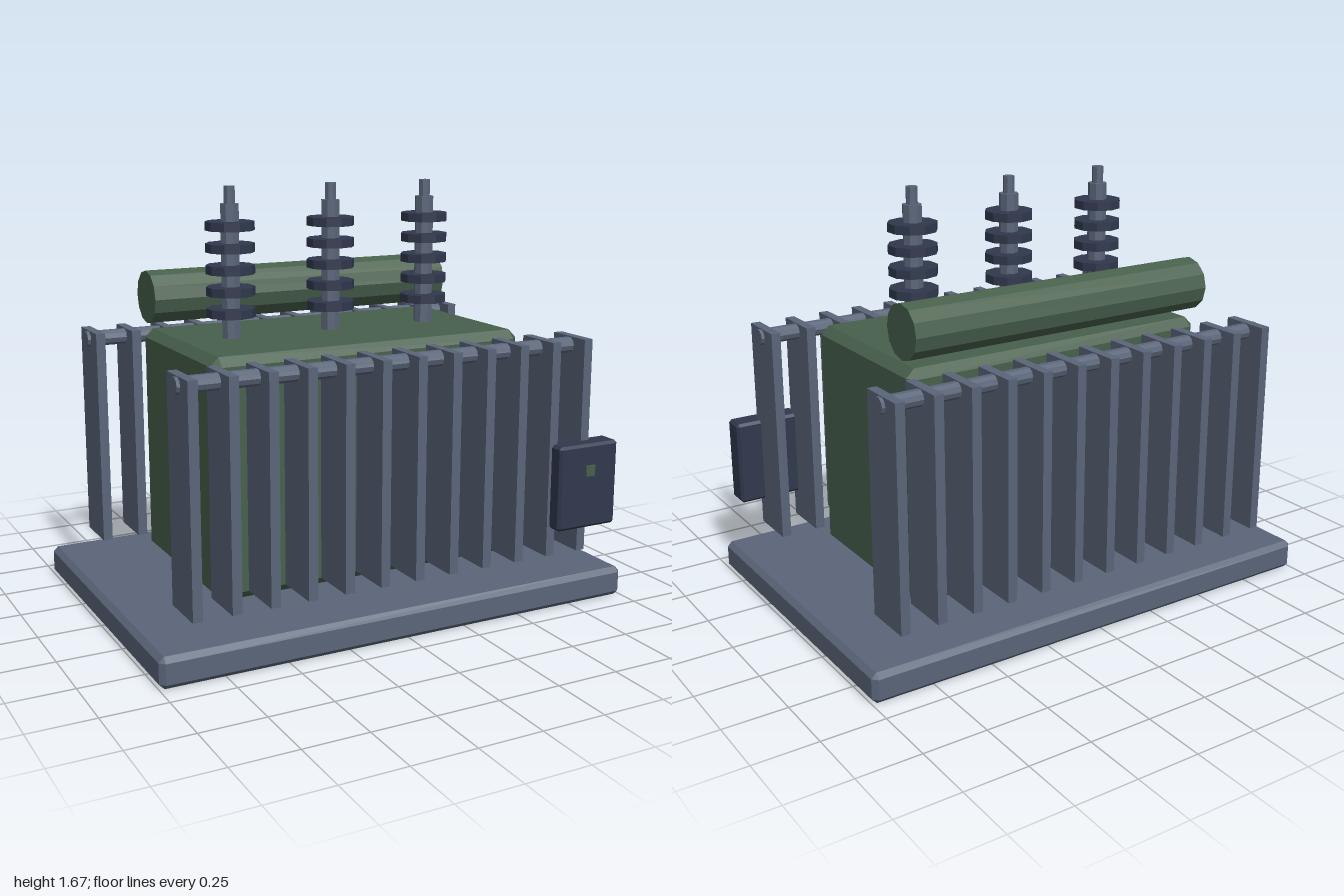
import * as THREE from 'three';
import { ConvexGeometry } from 'three/addons/geometries/ConvexGeometry.js';

const mat = (name, color) => {
  const m = new THREE.MeshStandardMaterial({ color, flatShading: true });
  m.name = name;
  return m;
};

// Box with every edge cut by a flat chamfer c
function chamferBox(w, h, d, c) {
  const points = [];
  for (const sx of [-1, 1]) for (const sy of [-1, 1]) for (const sz of [-1, 1]) {
    const x = w / 2, y = h / 2, z = d / 2;
    points.push(
      new THREE.Vector3(sx * x, sy * (y - c), sz * (z - c)),
      new THREE.Vector3(sx * (x - c), sy * y, sz * (z - c)),
      new THREE.Vector3(sx * (x - c), sy * (y - c), sz * z));
  }
  return new ConvexGeometry(points);
}

export function createModel() {
  const green = mat('tank green', 0x48604c);
  const slate = mat('slate grey', 0x5a6579);
  const navy = mat('dark navy', 0x30384d);

  const model = new THREE.Group();
  model.name = 'transformer';
  const add = (name, geometry, material, x, y, z, parent = model) => {
    const mesh = new THREE.Mesh(geometry, material);
    mesh.name = name;
    mesh.position.set(x, y, z);
    parent.add(mesh);
    return mesh;
  };

  // Base plinth and main tank
  add('base', chamferBox(2, 0.12, 1.33, 0.02), slate, 0, 0.06, 0);
  add('tank', chamferBox(1.33, 0.932, 0.75, 0.034), green, 0, 0.621, 0);

  // Oil cylinder along the back of the lid
  add('conservator', new THREE.CylinderGeometry(0.106, 0.106, 1.33, 12), green, 0, 1.22, -0.316)
    .rotation.z = Math.PI / 2;

  // Radiator banks, front and back
  const finGeo = new THREE.BoxGeometry(0.038, 0.87, 0.2);
  const pipeGeo = new THREE.CylinderGeometry(0.032, 0.032, 1.73, 10);
  for (const side of [1, -1]) {
    const bank = new THREE.Group();
    bank.name = side > 0 ? 'frontRadiator' : 'backRadiator';
    model.add(bank);
    for (let i = 0; i < 12; i++) {
      add('radiatorFin', finGeo, slate, -0.833 + i * 1.666 / 11, 0.635, side * 0.5, bank);
    }
    add('headerPipe', pipeGeo, slate, 0, 1.036, side * 0.5, bank).rotation.z = Math.PI / 2;
  }

  // Three bushings with stacked insulator discs
  const coreGeo = new THREE.CylinderGeometry(0.038, 0.038, 0.525, 8);
  const pinGeo = new THREE.CylinderGeometry(0.023, 0.023, 0.09, 8);
  const discGeo = new THREE.CylinderGeometry(0.096, 0.096, 0.034, 10);
  for (const x of [-0.433, 0, 0.433]) {
    const bushing = new THREE.Group();
    bushing.name = 'bushing';
    bushing.position.x = x;
    model.add(bushing);
    add('bushingCore', coreGeo, slate, 0, 1.3425, 0, bushing);
    add('terminalPin', pinGeo, slate, 0, 1.627, 0, bushing);
    for (let i = 0; i < 5; i++) {
      add('insulatorDisc', discGeo, navy, 0, 1.187 + i * 0.0836, 0, bushing);
    }
  }

  // Control cabinet with its small green indicator
  add('controlBox', chamferBox(0.28, 0.346, 0.098, 0.011), navy, 0.815, 0.488, 0.61);
  add('indicator', new THREE.BoxGeometry(0.043, 0.043, 0.012), green, 0.817, 0.553, 0.662);

  return model;
}
